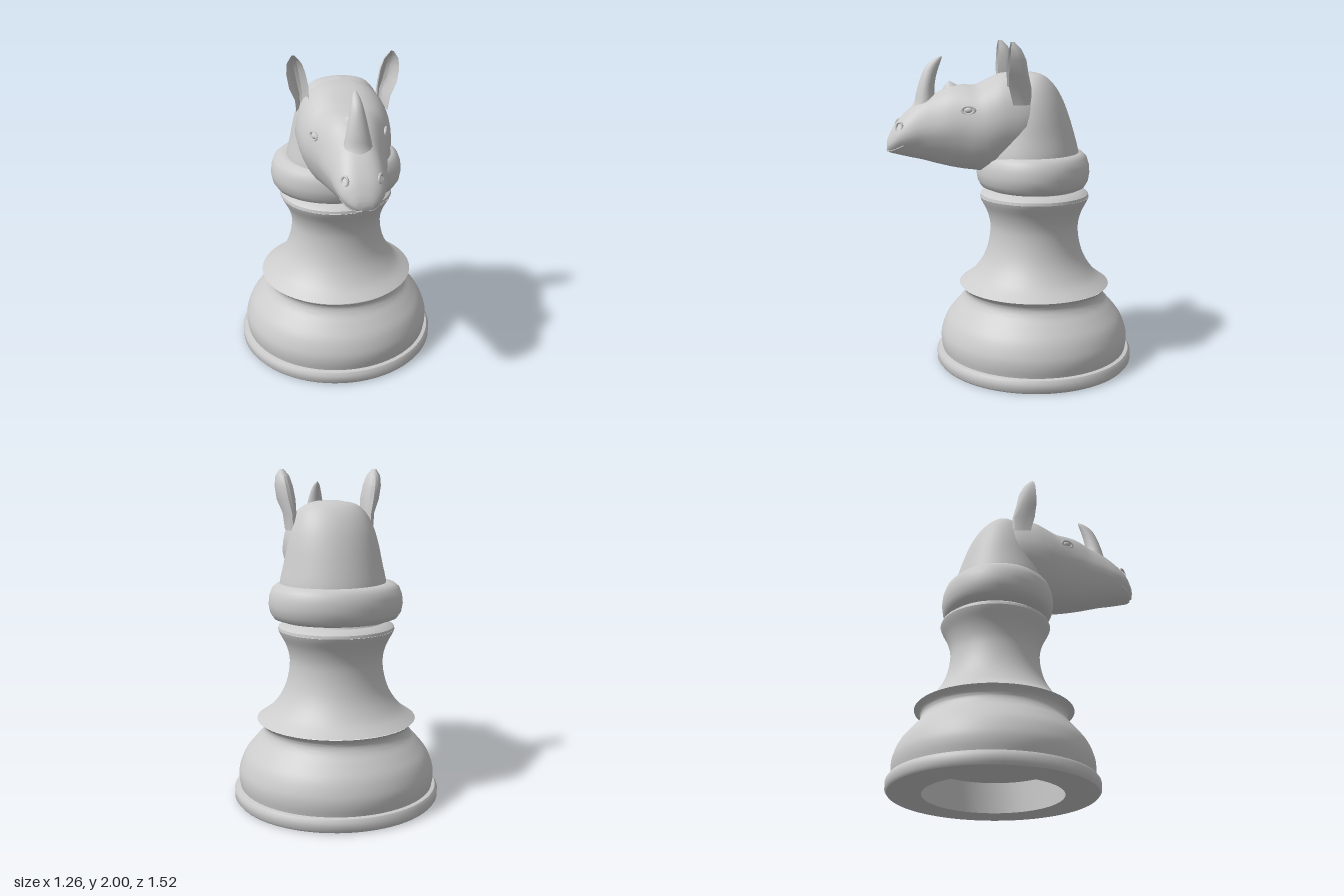
import * as THREE from 'three';
import { toCreasedNormals } from 'three/addons/utils/BufferGeometryUtils.js';

const grey = new THREE.MeshStandardMaterial({ color: 0xcccccc });
const greyDouble = new THREE.MeshStandardMaterial({ color: 0xcccccc, side: THREE.DoubleSide });
const V = (x, y, z) => new THREE.Vector3(x, y, z);

function mesh(name, geometry, material = grey) {
  const m = new THREE.Mesh(geometry, material);
  m.name = name;
  return m;
}

// Turned part about the pedestal axis; the profile runs bottom to top
function turned(name, profile, { smooth = false, depth = 0.98, z = -0.143 } = {}) {
  let pts = profile.map(([r, y]) => new THREE.Vector2(r, y));
  if (smooth) pts = new THREE.SplineCurve(pts).getPoints(36);
  const m = mesh(name, toCreasedNormals(new THREE.LatheGeometry(pts, 72), 0.7));
  m.scale.z = depth;
  m.position.z = z;
  return m;
}

// Skin over a row of rings, each with the same number of points
function loft(rings, closed = true) {
  const n = rings[0].length, index = [];
  for (let i = 0; i < rings.length - 1; i++) {
    for (let j = 0; j < (closed ? n : n - 1); j++) {
      const a = i * n + j, b = i * n + (j + 1) % n;
      index.push(a, b, a + n, b, b + n, a + n);
    }
  }
  const g = new THREE.BufferGeometry().setFromPoints(rings.flat());
  g.setIndex(index);
  g.computeVertexNormals();
  return g;
}

// Stack of level ellipses: [y, centre z, half depth, half width]
function stack(rows, steps, sides) {
  const at = new THREE.CatmullRomCurve3(rows.map(([y, z, d]) => V(y, z, d)), false, 'catmullrom');
  const wide = new THREE.CatmullRomCurve3(rows.map(r => V(r[3], 0, 0)), false, 'catmullrom');
  return loft(Array.from({ length: steps + 1 }, (_, i) => {
    const p = at.getPoint(i / steps), w = wide.getPoint(i / steps).x;
    return Array.from({ length: sides }, (_, j) => {
      const t = j / sides * Math.PI * 2;
      return V(w * Math.cos(t), p.x, p.y - p.z * Math.sin(t));
    });
  }));
}

// Head sections: [z, top, bottom, half width, narrowing towards the top]
const sections = [
  [-0.14, 1.80, 1.24, 0.25, 0.08], [-0.04, 1.815, 1.22, 0.275, 0.06], [0.07, 1.81, 1.215, 0.28, 0.06],
  [0.15, 1.775, 1.215, 0.27, 0.05], [0.22, 1.745, 1.23, 0.25, 0.05], [0.30, 1.745, 1.24, 0.222, 0.08],
  [0.38, 1.735, 1.255, 0.2, 0.15], [0.46, 1.695, 1.275, 0.18, 0.2], [0.55, 1.655, 1.30, 0.16, 0.2],
  [0.63, 1.595, 1.318, 0.145, 0.15], [0.70, 1.52, 1.335, 0.12, 0.1], [0.74, 1.455, 1.345, 0.08, 0.1],
  [0.757, 1.41, 1.36, 0.045, 0],
];
const heights = new THREE.CatmullRomCurve3(sections.map(([z, t, b]) => V(z, t, b)), false, 'catmullrom');
const widths = new THREE.CatmullRomCurve3(sections.map(s => V(s[3], s[4], 0)), false, 'catmullrom');

// Point on the head skin: u runs nape to nose, t runs round from the side
function headPoint(u, t, grow = 1) {
  const h = heights.getPoint(u), w = widths.getPoint(u);
  const soft = (v, p) => Math.sign(v) * Math.pow(Math.abs(v), p);
  const s = soft(Math.sin(t), 0.85), mid = (h.y + h.z) / 2;
  const taper = s > 0 ? 1 - w.y * s : 1 + 0.2 * s;
  return V(w.x * soft(Math.cos(t), 0.75) * taper * grow, mid + (h.y - h.z) / 2 * s * grow, h.x);
}

function headGeometry() {
  const rings = [], steps = 48, sides = 40;
  for (let i = 0; i <= steps; i++) {
    rings.push(Array.from({ length: sides }, (_, j) => headPoint(i / steps, j / sides * Math.PI * 2)));
  }
  rings.push(rings[steps].map(() => V(0, 1.385, 0.759)));
  return loft(rings);
}

// Leaf-shaped cup opening forwards: [y, centre x, half width, rim z, back z]
function earGeometry() {
  const rows = [
    [1.64, 0.235, 0.035, 0.03, -0.08], [1.74, 0.24, 0.04, 0.055, -0.08], [1.82, 0.258, 0.056, 0.06, -0.06],
    [1.90, 0.272, 0.055, 0.055, -0.045], [1.96, 0.28, 0.042, 0.05, -0.015], [2.0, 0.285, 0.012, 0.045, 0.025],
  ];
  const outer = rows.map(([y, x, w, rim, back]) => Array.from({ length: 9 }, (_, j) => {
    const a = j / 8 * Math.PI;
    return V(x + w * Math.cos(a), y, rim + (back - rim) * Math.sin(a));
  }));
  return toCreasedNormals(loft(outer, false), 0.5);
}

export function createModel() {
  const model = new THREE.Group();
  model.name = 'chessPiece';

  // Pedestal
  model.add(
    turned('hollowFoot', [[0, 0.19], [0.42, 0.19], [0.42, 0], [0.62, 0], [0.632, 0.015], [0.632, 0.06],
      [0.618, 0.08], [0.59, 0.085]]),
    turned('bowl', [[0.595, 0.08], [0.604, 0.14], [0.598, 0.2], [0.565, 0.28], [0.51, 0.35], [0.462, 0.405],
      [0.445, 0.445], [0.455, 0.475], [0.487, 0.5]], { smooth: true }),
    turned('flaredStem', [[0.487, 0.5], [0.41, 0.555], [0.355, 0.62], [0.317, 0.69], [0.293, 0.77], [0.284, 0.85],
      [0.29, 0.91], [0.31, 0.97], [0.342, 1.03], [0.353, 1.055]], { smooth: true, depth: 0.965 }),
    turned('stemRim', [[0.353, 1.055], [0.35, 1.072], [0.325, 1.09], [0.29, 1.1], [0.28, 1.12]], { depth: 0.955 }),
    turned('collar', [[0, 1.11], [0.33, 1.11], [0.375, 1.125], [0.398, 1.16], [0.407, 1.21], [0.402, 1.26],
      [0.385, 1.305], [0.355, 1.33], [0.31, 1.335], [0, 1.335]], { depth: 0.855, z: -0.132 }),
  );

  const head = new THREE.Group();
  head.name = 'head';
  head.position.x = 0.013;
  model.add(head);

  // Domed nape and the skull with its tapering muzzle
  head.add(mesh('nape', stack([
    [1.25, -0.11, 0.31, 0.325], [1.335, -0.11, 0.3, 0.322], [1.45, -0.11, 0.27, 0.297], [1.57, -0.11, 0.232, 0.272],
    [1.67, -0.11, 0.19, 0.24], [1.75, -0.11, 0.137, 0.195], [1.8, -0.11, 0.075, 0.13], [1.822, -0.1, 0, 0],
  ], 28, 40)));
  head.add(mesh('skull', headGeometry()));

  // Swept-back nose horn and the small horn stub behind it
  head.add(mesh('noseHorn', stack([
    [1.54, 0.56, 0.1, 0.1], [1.63, 0.527, 0.068, 0.082], [1.70, 0.522, 0.054, 0.066], [1.78, 0.506, 0.046, 0.05],
    [1.85, 0.48, 0.04, 0.034], [1.895, 0.447, 0.024, 0.018], [1.917, 0.42, 0, 0],
  ], 18, 16)));
  head.add(mesh('hornStub', stack([
    [1.69, 0.345, 0.08, 0.08], [1.735, 0.365, 0.045, 0.045], [1.768, 0.38, 0, 0],
  ], 6, 12)));

  // Ears, eyes, nostrils and mouth corners, mirrored
  for (const side of [1, -1]) {
    const half = new THREE.Group();
    half.name = side > 0 ? 'leftFeatures' : 'rightFeatures';
    half.scale.x = side;
    head.add(half);

    half.add(mesh('ear', earGeometry(), greyDouble));

    const eye = new THREE.Group();
    eye.name = 'eye';
    eye.position.copy(headPoint(0.4, 0.42));
    eye.rotation.y = 1.25;
    const ball = mesh('eyeball', new THREE.SphereGeometry(0.02, 14, 10));
    const lids = mesh('eyelids', new THREE.TorusGeometry(0.03, 0.008, 8, 20));
    ball.scale.set(1.2, 0.8, 0.6);
    lids.scale.set(1.25, 0.75, 1);
    eye.add(ball, lids);
    half.add(eye);

    const nostril = mesh('nostril', new THREE.TorusGeometry(0.022, 0.007, 8, 16));
    nostril.position.copy(headPoint(0.81, 0.7));
    nostril.rotation.set(-0.3, 0.9, 0);
    nostril.scale.y = 1.15;
    half.add(nostril);

    const lip = [0.78, 0.83, 0.88, 0.93, 0.97, 1].map((u, i) => headPoint(u, -0.35 - i * 0.17, 0.985));
    half.add(mesh('lip', new THREE.TubeGeometry(new THREE.CatmullRomCurve3(lip), 20, 0.006, 6)));
  }
  return model;
}
